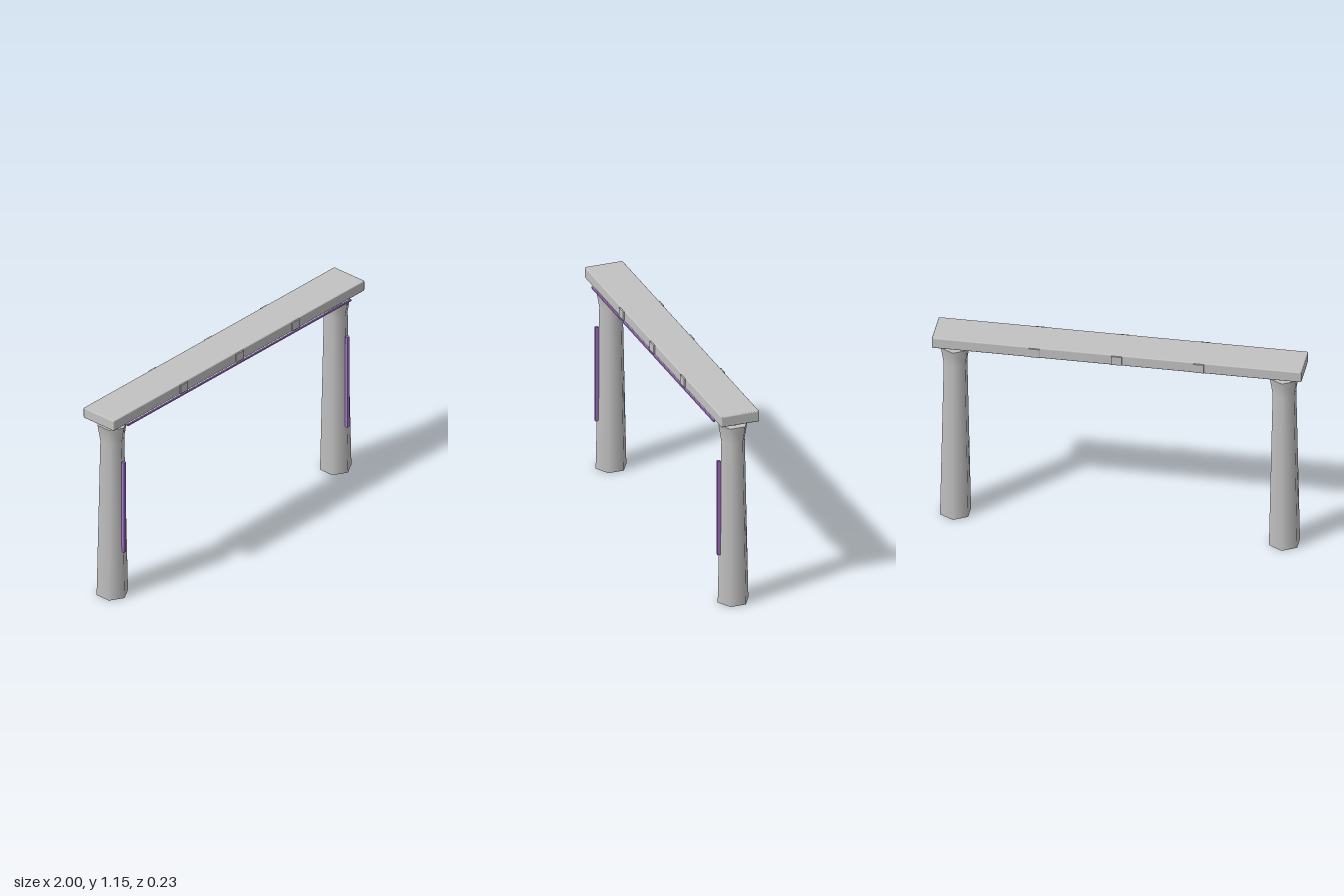
import * as THREE from 'three';
import { RoundedBoxGeometry } from 'three/addons/geometries/RoundedBoxGeometry.js';

export function createModel() {
  const model = new THREE.Group();
  const stone = new THREE.MeshStandardMaterial({ name: 'grey stone', color: 0xc2c2c2 });
  const glow = new THREE.MeshStandardMaterial({ name: 'purple accent', color: 0xa673cb });
  const facetedGlow = glow;

  const add = (parent, name, geometry, material, x = 0, y = 0, z = 0) => {
    const mesh = new THREE.Mesh(geometry, material);
    mesh.name = name;
    mesh.position.set(x, y, z);
    parent.add(mesh);
    return mesh;
  };

  // Hexagonal pillar profile: tapered shaft with a flared head
  const profile = [[0.088, 0], [0.067, 0.95], [0.083, 1.047]].map(p => new THREE.Vector2(...p));
  const shaft = new THREE.LatheGeometry(profile, 6);
  const cap = (r, up) => new THREE.CircleGeometry(r, 6, Math.PI / 2).rotateX(up ? -Math.PI / 2 : Math.PI / 2);

  for (const side of [-1, 1]) {
    const pillar = new THREE.Group();
    pillar.name = side < 0 ? 'rightPillar' : 'leftPillar';
    pillar.position.x = side * 0.89;
    add(pillar, 'shaft', shaft, stone);
    add(pillar, 'shaftBottom', cap(0.088, false), stone);
    add(pillar, 'shaftTop', cap(0.083, true), stone, 0, 1.047);
    // Four-sided bearing between pillar and beam, with faceted normals
    const bearing = new THREE.CylinderGeometry(0.028, 0.037, 0.042, 4).toNonIndexed();
    bearing.computeVertexNormals();
    add(pillar, 'bearing', bearing, facetedGlow, 0, 1.066);
    // Vertical strip on the front edge
    add(pillar, 'pillarStrip', new THREE.BoxGeometry(0.018, 0.553, 0.018), glow, 0, 0.56, 0.082);
    model.add(pillar);
  }

  // Beam with softened edges
  add(model, 'beam', new RoundedBoxGeometry(2, 0.062, 0.218, 2, 0.006), stone, 0, 1.115);

  // Bands across the beam, standing slightly proud at front and back
  for (const x of [-0.445, 0, 0.445]) {
    for (const z of [-0.111, 0.111]) {
      add(model, 'beamBand', new RoundedBoxGeometry(0.059, 0.052, 0.012, 1, 0.002), stone, x, 1.115, z);
    }
  }

  // Long strip beneath the front edge of the beam
  add(model, 'beamStrip', new THREE.BoxGeometry(1.78, 0.009, 0.009), glow, 0, 1.074, 0.108);

  return model;
}
